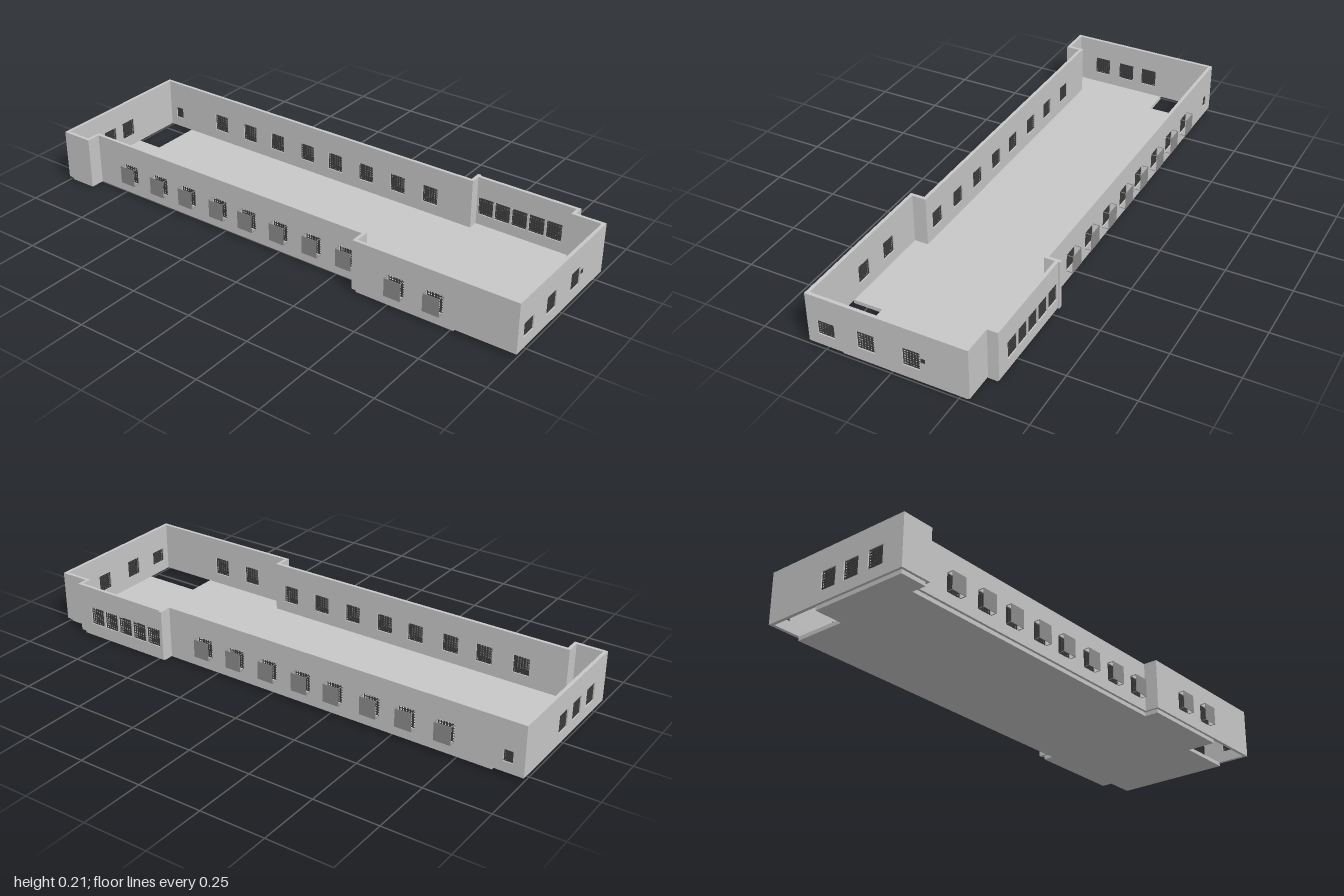
import * as THREE from 'three';

const T = 0.013, BASE = 0.015, TOP = 0.21;

export function createModel() {
  const model = new THREE.Group();
  model.name = 'buildingShell';
  const mat = (name, color) => {
    const m = new THREE.MeshStandardMaterial({ color });
    m.name = name;
    return m;
  };
  const grey = mat('wallGrey', 0xc8c8c8);
  const panelGrey = mat('panelGrey', 0x8c8c8c);
  const dark = mat('grilleDark', 0x3c3c3c);

  const box = (parent, name, m, w, h, d, x, y, z) => {
    const mesh = new THREE.Mesh(new THREE.BoxGeometry(w, h, d), m);
    mesh.name = name;
    mesh.position.set(x, y, z);
    parent.add(mesh);
  };

  // Floor slab, with an open corner at the front left and the back right
  const plan = [[-0.19, 0.99], [0.277, 0.99], [0.277, 0.875], [0.32, 0.875], [0.32, 0.475],
    [0.28, 0.475], [0.28, -0.88], [0.075, -0.88], [0.075, -0.99], [-0.305, -0.99],
    [-0.305, -0.885], [-0.25, -0.885], [-0.25, 0.37], [-0.305, 0.37], [-0.305, 0.76], [-0.19, 0.76]];
  const floorShape = new THREE.Shape(plan.map(([x, z]) => new THREE.Vector2(x, -z)));
  const floor = new THREE.Mesh(
    new THREE.ExtrudeGeometry(floorShape, { depth: BASE, bevelEnabled: false }), grey);
  floor.name = 'floorSlab';
  floor.rotation.x = -Math.PI / 2;
  model.add(floor);

  // Grille of thin bars filling an opening, with a denser middle
  function addGrille(parent, u, y, w, h) {
    const g = new THREE.Group();
    g.name = 'windowGrille';
    g.position.set(u, y, -T / 2);
    for (let i = 0; i < 7; i++) {
      box(g, 'verticalBar', dark, i > 1 && i < 6 ? 0.006 : 0.002, h, 0.003, (i / 6 - 0.5) * (w - 0.002), 0, 0);
    }
    for (let i = 0; i < 8; i++) {
      box(g, 'horizontalBar', dark, w, 0.002, 0.004, 0, (i / 7 - 0.5) * (h - 0.002), 0);
    }
    parent.add(g);
  }

  // Projecting cage: outer panel on four corner rods
  function addCage(parent, u, y, w, h) {
    const g = new THREE.Group();
    g.name = 'windowCage';
    g.position.set(u, y, 0);
    box(g, 'cagePanel', panelGrey, w, h, 0.002, 0, 0, 0.024);
    for (const sx of [-1, 1]) for (const sy of [-1, 1]) {
      box(g, 'cageRod', panelGrey, 0.002, 0.002, 0.025, sx * (w / 2 - 0.001), sy * (h / 2 - 0.001), 0.0125);
    }
    parent.add(g);
  }

  // Wall outline, anticlockwise from above, starting at the front left
  const outline = [[-0.315, 1], [0.29, 1], [0.29, 0.885], [0.33, 0.885], [0.33, 0.465], [0.29, 0.465],
    [0.29, -1], [-0.315, -1], [-0.315, -0.875], [-0.26, -0.875], [-0.26, 0.36], [-0.315, 0.36]];
  const names = ['frontWall', 'frontRightReturn', 'bayFrontReturn', 'bayWall', 'bayBackReturn', 'longWallLeft',
    'backWall', 'backCornerWall', 'backCornerReturn', 'longWallRight', 'frontCornerReturn', 'frontCornerWall'];

  // Windows by wall: centre along the wall, centre height, width, height, cage
  const row = [0.3, 0.155, 0.01, -0.135, -0.27, -0.42, -0.56, -0.71];
  const caged = (list) => list.map((c) => [c, 0.0925, 0.065, 0.07, true]);
  const windows = {
    frontWall: [[-0.243, 0.086, 0.065, 0.056], [-0.09, 0.093, 0.066, 0.07], [0.08, 0.093, 0.065, 0.07]],
    bayWall: [0.795, 0.725, 0.655, 0.585, 0.515].map((c) => [c, 0.0925, 0.062, 0.07]),
    longWallLeft: [...caged(row), [-0.94, 0.077, 0.035, 0.045]],
    backWall: [0.015, -0.088, -0.197].map((c) => [c, 0.0925, 0.065, 0.07]),
    longWallRight: caged(row),
    frontCornerWall: caged([0.538, 0.69]),
  };

  const n = outline.length;
  const dirOf = (i) => {
    const a = outline[(i + n) % n], b = outline[(i + 1) % n];
    return new THREE.Vector2(b[0] - a[0], a[1] - b[1]);
  };
  outline.forEach((p, i) => {
    const d = dirOf(i), len = d.length(), name = names[i];
    // Inner corners need the wall to run on by its own thickness
    const start = dirOf(i - 1).cross(d) < 0 ? -T : 0;
    const end = d.cross(dirOf(i + 1)) < 0 ? len + T : len;
    const shape = new THREE.Shape([[start, BASE], [end, BASE], [end, TOP], [start, TOP]]
      .map(([x, y]) => new THREE.Vector2(x, y)));
    const wall = new THREE.Group();
    wall.name = name;
    const along = Math.abs(d.x) > Math.abs(d.y) ? 0 : 1;
    for (const [c, y, w, h, cage] of windows[name] || []) {
      const u = Math.abs(c - p[along]);
      shape.holes.push(new THREE.Path([[-1, -1], [-1, 1], [1, 1], [1, -1]]
        .map(([sx, sy]) => new THREE.Vector2(u + sx * w / 2, y + sy * h / 2))));
      addGrille(wall, u, y, w, h);
      if (cage) addCage(wall, u, y, w, h);
    }
    const geo = new THREE.ExtrudeGeometry(shape, { depth: T, bevelEnabled: false });
    geo.translate(0, 0, -T);
    const mesh = new THREE.Mesh(geo, grey);
    mesh.name = name + 'Panel';
    wall.add(mesh);
    wall.position.set(p[0], 0, p[1]);
    wall.rotation.y = Math.atan2(d.y, d.x);
    model.add(wall);
  });

  // Projecting end of the bay and a small box on the front wall
  box(model, 'bayEndFin', grey, 0.008, TOP - BASE, T, 0.333, (TOP + BASE) / 2, 0.4715);
  box(model, 'wallBox', dark, 0.016, 0.016, 0.004, 0.124, 0.102, 0.999);
  return model;
}
